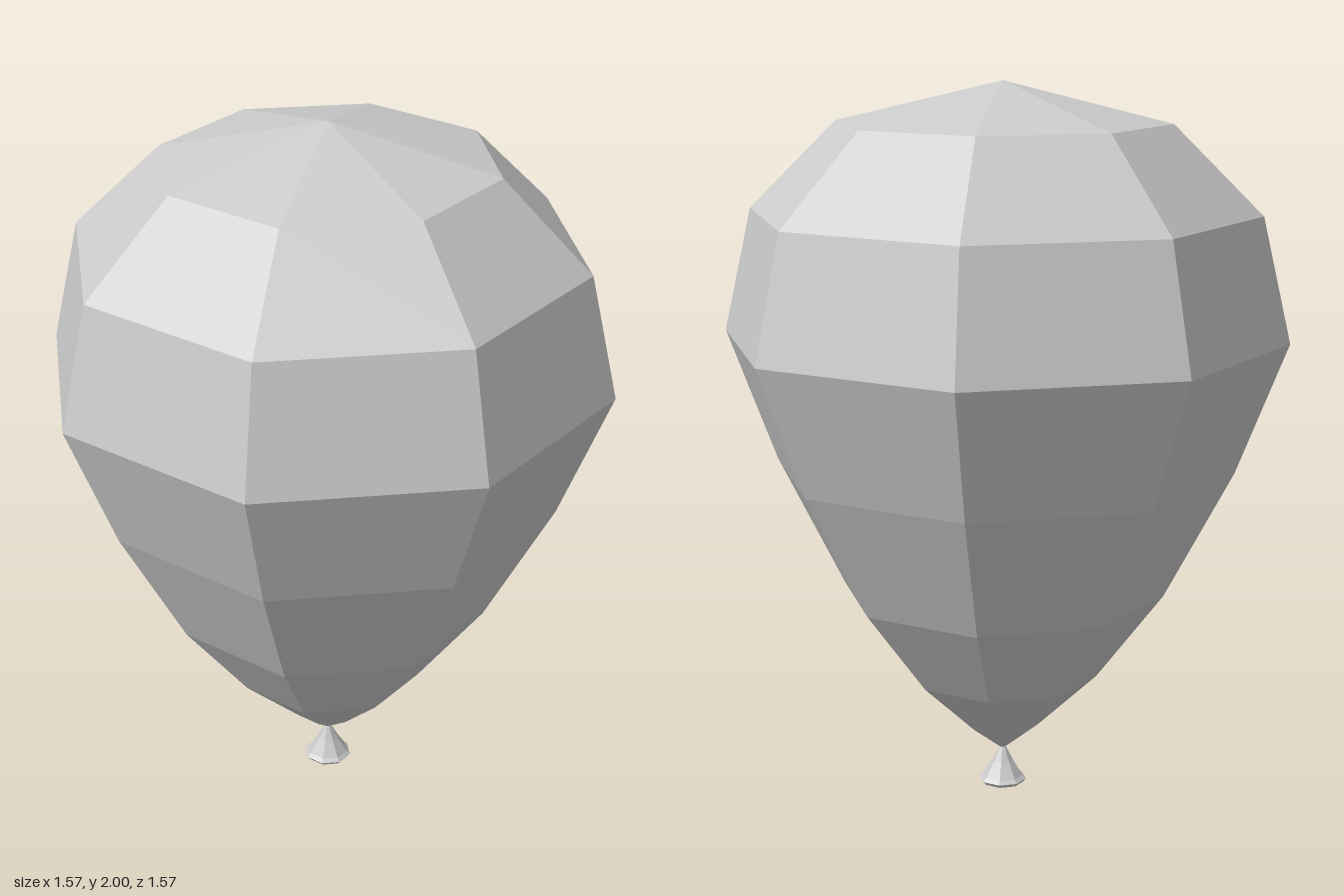
import * as THREE from 'three';

const SIDES = 8;

// Revolves a [radius, height] profile, listed so that faces point outwards
function lathe(name, profile, material) {
  const points = profile.map(([r, y]) => new THREE.Vector2(r, y));
  const mesh = new THREE.Mesh(new THREE.LatheGeometry(points, SIDES), material);
  mesh.name = name;
  return mesh;
}

export function createModel() {
  const model = new THREE.Group();
  model.name = 'balloon';
  const material = new THREE.MeshStandardMaterial({
    color: 0xcccccc, flatShading: true, side: THREE.DoubleSide,
  });

  // Faceted teardrop body, from the pinched neck to the crown
  model.add(lathe('body', [
    [0.008, 0.105], [0.1, 0.175], [0.268, 0.33], [0.455, 0.575], [0.645, 0.935],
    [0.787, 1.3], [0.708, 1.645], [0.463, 1.888], [0, 2],
  ], material));

  // Flared tie with a rolled lip, hollow underneath
  model.add(lathe('tie', [
    [0.006, 0.09], [0.038, 0.014], [0.046, 0.002], [0.06, 0], [0.068, 0.01],
    [0.058, 0.02], [0.03, 0.065], [0.008, 0.108],
  ], material));

  return model;
}
